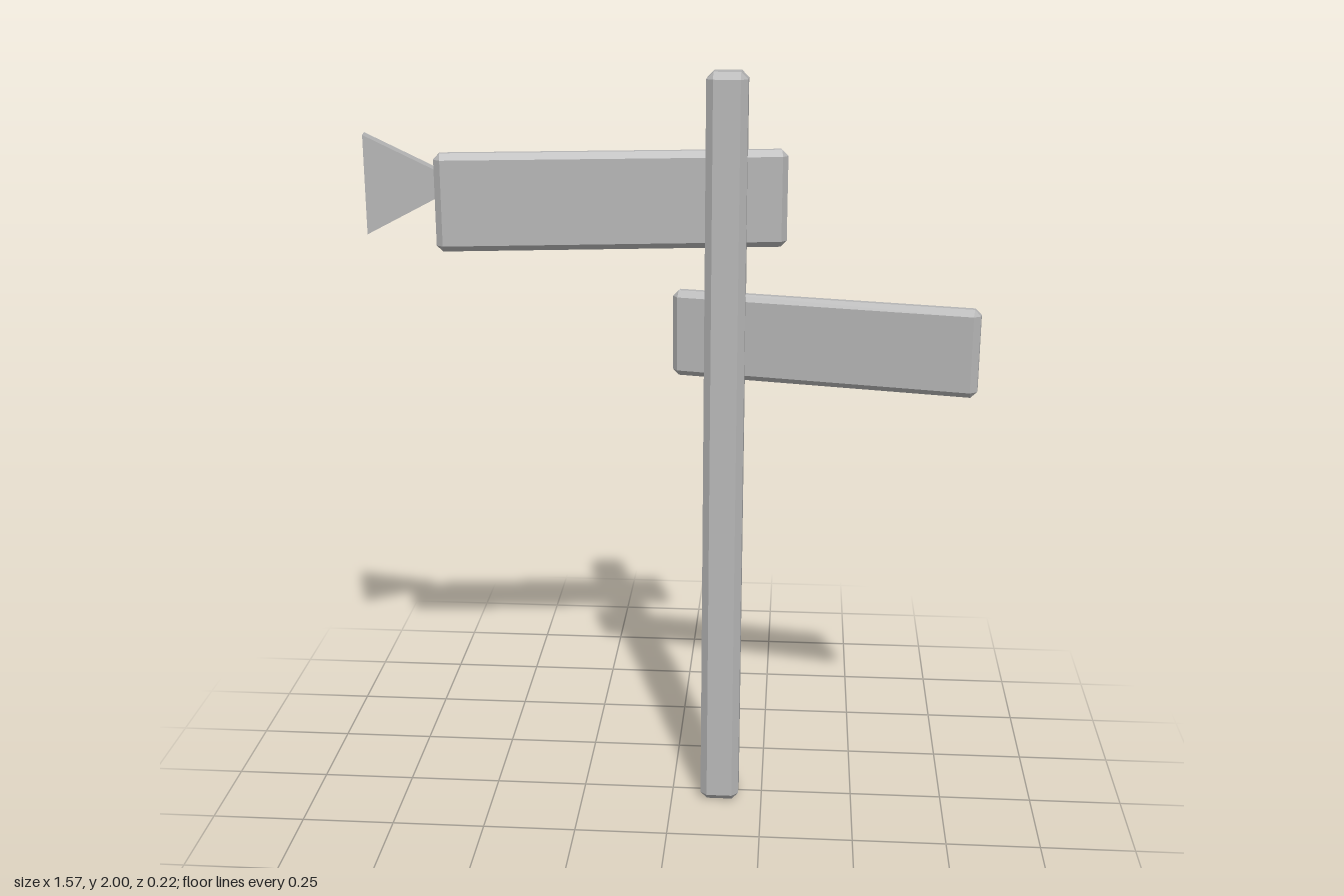
import * as THREE from 'three';
import { ConvexGeometry } from 'three/addons/geometries/ConvexGeometry.js';

// Box with every edge cut by a flat chamfer
function chamferBox(w, h, d, c) {
  const half = [w / 2, h / 2, d / 2];
  const points = [];
  for (const sx of [-1, 1]) for (const sy of [-1, 1]) for (const sz of [-1, 1]) {
    for (let axis = 0; axis < 3; axis++) {
      const p = half.map((v, i) => (i === axis ? v : v - c));
      points.push(new THREE.Vector3(p[0] * sx, p[1] * sy, p[2] * sz));
    }
  }
  return new ConvexGeometry(points);
}

export function createModel() {
  const group = new THREE.Group();
  const grey = new THREE.MeshStandardMaterial({ color: 0xb4b4b4 });
  grey.name = 'plain grey';

  const add = (name, geometry, position, rotation = [0, 0, 0]) => {
    const mesh = new THREE.Mesh(geometry, grey);
    mesh.name = name;
    mesh.position.set(...position);
    mesh.rotation.set(...rotation);
    group.add(mesh);
  };

  // Post, leaning slightly backwards
  add('post', chamferBox(0.105, 1.997, 0.105, 0.018), [0.133, 1, -0.0125], [-0.034, 0, 0]);

  // Two boards swung in opposite directions
  add('upperBoard', chamferBox(0.897, 0.25, 0.048, 0.016), [-0.157, 1.675, -0.012], [0, 0.14, 0]);
  add('lowerBoard', chamferBox(0.802, 0.23, 0.048, 0.016), [0.388, 1.315, 0.003], [0, -0.205, 0]);

  // Triangular end piece with its point tucked behind the upper board
  const triangle = new THREE.Shape();
  triangle.moveTo(0.125, 0);
  triangle.lineTo(-0.125, 0.127);
  triangle.lineTo(-0.125, -0.127);
  triangle.closePath();
  const wedge = new THREE.ExtrudeGeometry(triangle, { depth: 0.05, bevelEnabled: false });
  wedge.translate(0, 0, -0.025);
  add('arrowWedge', wedge, [-0.665, 1.712, -0.016], [0, 0.14, 0]);

  // Knob on the back of the lower board
  add('knob', new THREE.SphereGeometry(0.06, 6, 4), [0.39, 1.33, -0.055], [0, Math.PI / 6, 0]);

  return group;
}
